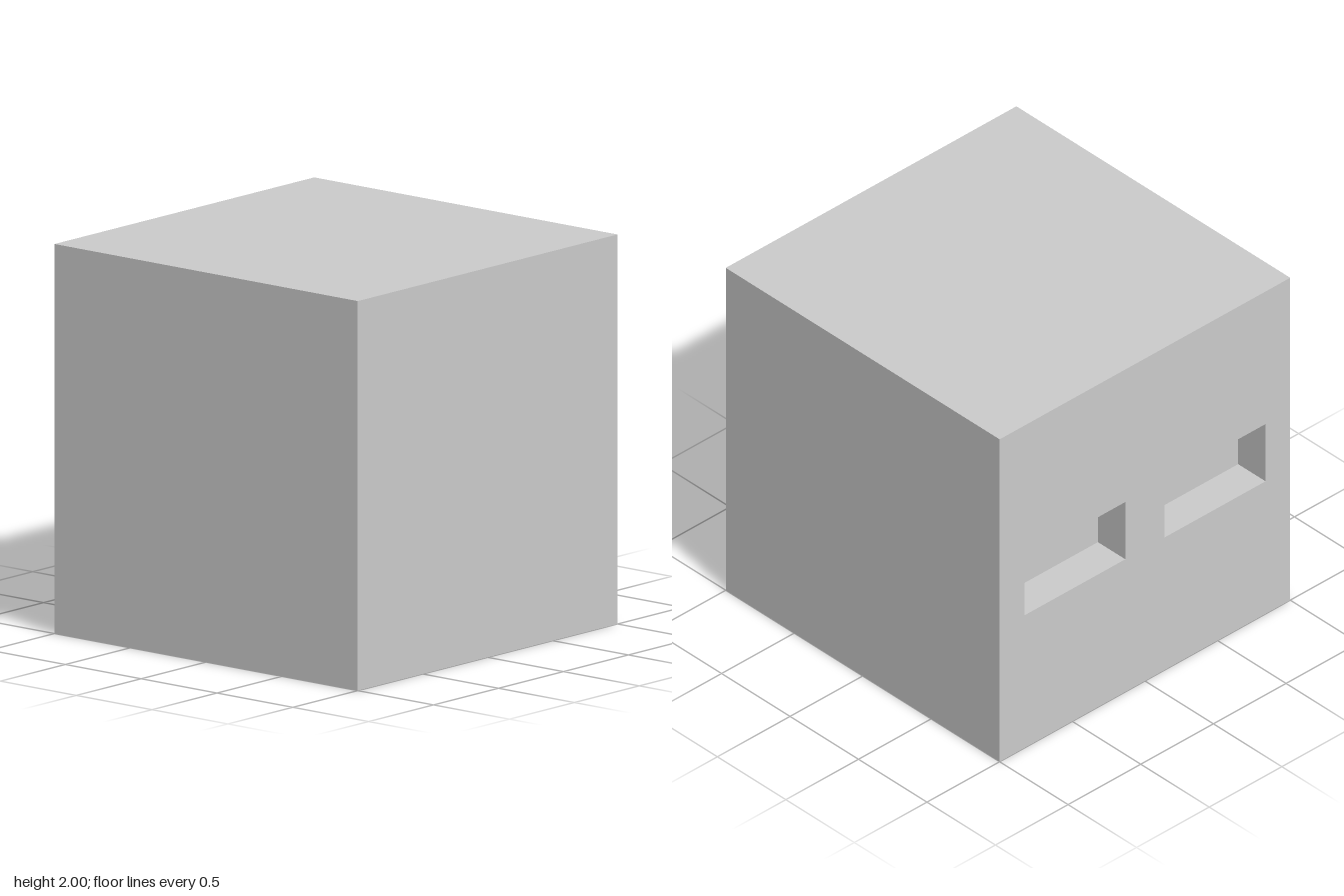
import * as THREE from 'three';

const SIZE = 2, SLOT_W = 0.695, SLOT_H = 0.355, SLOT_D = 0.2, SLOT_X = 0.4825;

// Box without its back (-z) face, optionally turned inside out
function openBox(w, h, d, inward = false) {
  const g = new THREE.BoxGeometry(w, h, d);
  const index = Array.from(g.index.array).slice(0, 30);
  g.clearGroups();
  g.setIndex(inward ? index.reverse() : index);
  if (inward) {
    const n = g.attributes.normal;
    for (let i = 0; i < n.array.length; i++) n.array[i] *= -1;
  }
  return g;
}

// Rectangle outline centred on (x, y)
function rect(path, x, y, w, h) {
  path.moveTo(x - w / 2, y - h / 2);
  path.lineTo(x + w / 2, y - h / 2);
  path.lineTo(x + w / 2, y + h / 2);
  path.lineTo(x - w / 2, y + h / 2);
  path.closePath();
  return path;
}

export function createModel() {
  const model = new THREE.Group();
  model.name = 'slottedCube';
  const material = new THREE.MeshStandardMaterial({ color: 0xcccccc });
  const add = (name, geometry, x, y, z) => {
    const mesh = new THREE.Mesh(geometry, material);
    mesh.name = name;
    mesh.position.set(x, y, z);
    model.add(mesh);
  };

  // Cube: front, sides, top and bottom
  add('body', openBox(SIZE, SIZE, SIZE), 0, 1, 0);

  // Back wall with two slot openings
  const wall = rect(new THREE.Shape(), 0, 0, SIZE, SIZE);
  for (const s of [-1, 1]) wall.holes.push(rect(new THREE.Path(), s * SLOT_X, 0, SLOT_W, SLOT_H));
  add('backWall', new THREE.ShapeGeometry(wall).rotateY(Math.PI), 0, 1, -1);

  // Recess behind each opening
  for (const [name, s] of [['leftRecess', 1], ['rightRecess', -1]]) {
    add(name, openBox(SLOT_W, SLOT_H, SLOT_D, true), s * SLOT_X, 1, -1 + SLOT_D / 2);
  }
  return model;
}
